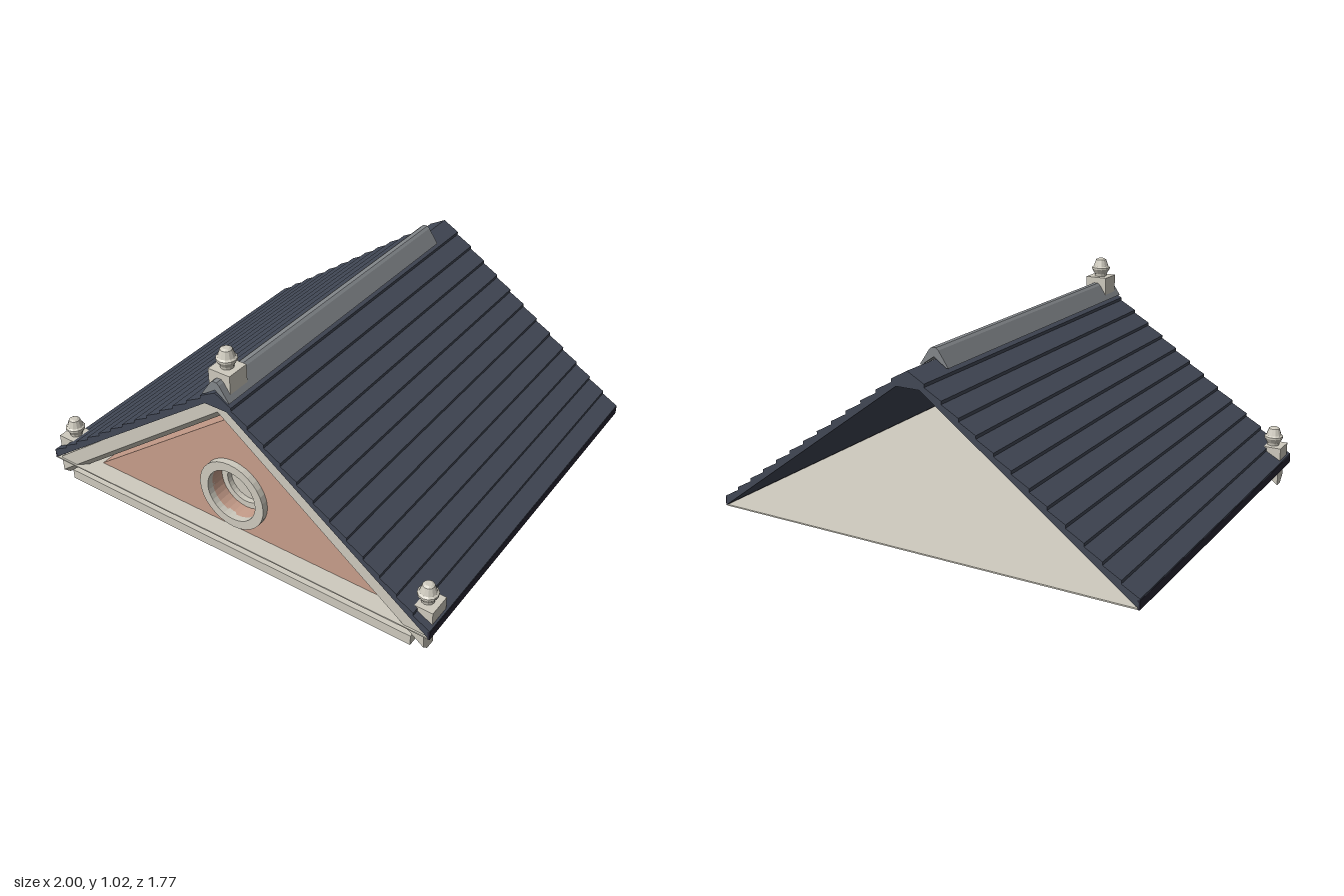
import * as THREE from 'three';

const mat = (name, color) => {
  const m = new THREE.MeshStandardMaterial({ color });
  m.name = name;
  return m;
};

export function createModel() {
  const model = new THREE.Group();
  model.name = 'gabledRoof';
  const stone = mat('cream stone', 0xcfcbbf);
  const slate = mat('blue slate', 0x424856);
  const fasciaDark = mat('dark fascia', 0x272534);
  const lead = mat('grey lead', 0x83878b);
  const brick = mat('salmon plaster', 0xc89e8b);

  const add = (name, geo, material, parent = model) => {
    const mesh = new THREE.Mesh(geo, material);
    mesh.name = name;
    parent.add(mesh);
    return mesh;
  };
  const shapeOf = pts => new THREE.Shape(pts.map(p => new THREE.Vector2(p[0], p[1])));
  // Solid with an x-y outline running from z0 to z1
  const prism = (shape, z0, z1) =>
    new THREE.ExtrudeGeometry(shape, { depth: z1 - z0, bevelEnabled: false, curveSegments: 16 }).translate(0, 0, z0);

  const Z = 0.885;
  const under = x => 0.83 - 0.73 * x; // underside of the roof at distance x from the ridge
  const COURSES = 13;

  for (const s of [1, -1]) {
    const side = s > 0 ? 'left' : 'right';

    // Roof deck and its eave board
    add(side + 'RoofDeck', prism(shapeOf([
      [0, under(0)], [s * 0.995, under(0.995)], [s * 0.995, under(0.995) + 0.025], [0, under(0) + 0.025],
    ]), -Z, Z), slate);
    add(side + 'EaveFascia', prism(shapeOf([
      [s * 0.99, 0.1], [s, 0.1], [s, 0.138], [s * 0.99, 0.14],
    ]), -Z, Z), fasciaDark);

    // Overlapping slate courses, each thicker at its lower edge
    for (let i = 0; i < COURSES; i++) {
      const lo = 1 - i / COURSES - (i === 0 ? 0.001 : 0);
      const hi = 1 - (i + 1) / COURSES;
      add(side + 'SlateCourse' + (i + 1), prism(shapeOf([
        [s * hi, under(hi) + 0.02], [s * lo, under(lo) + 0.02],
        [s * lo, under(lo) + 0.044], [s * hi, under(hi) + 0.03],
      ]), -Z, Z), slate);
    }

    // Raking cornice with a chamfered lower front edge
    const L = 0.97;
    const rake = new THREE.ExtrudeGeometry(shapeOf([
      [0.8, 0], [0.845, 0], [0.877, 0.032], [0.877, 0.11], [0.8, 0.11],
    ]), { depth: L, bevelEnabled: false });
    const p = rake.attributes.position;
    for (let i = 0; i < p.count; i++) {
      const x = s > 0 ? L - p.getZ(i) : -p.getZ(i);
      p.setXYZ(i, x, 0.733 - 0.753 * Math.abs(x) + p.getY(i), p.getX(i));
    }
    rake.computeVertexNormals();
    add(side + 'RakingCornice', rake, stone);
  }

  // Ridge beam and lead ridge cap
  add('ridgeBeam', prism(shapeOf([[-0.075, 0.79], [0.075, 0.79], [0, 0.85]]), -Z, Z), slate);
  add('ridgeCap', prism(shapeOf([
    [-0.068, 0.832], [-0.058, 0.832], [0, 0.872], [0.058, 0.832], [0.068, 0.832],
    [0.022, 0.9], [0.01, 0.91], [-0.01, 0.91], [-0.022, 0.9],
  ]), -0.7, 0.882), lead);

  // Soffit floor closing the roof from below
  add('soffit', new THREE.BoxGeometry(1.99, 0.006, 2 * Z).translate(0, 0.102, 0), stone);

  // Gable panel with a round opening
  const oy = 0.302;
  const gable = shapeOf([[-0.91, 0.013], [0.91, 0.013], [0, 0.69]]);
  const hole = (shape, r, y) => {
    shape.holes.push(new THREE.Path().absarc(0, y, r, 0, Math.PI * 2, true));
    return shape;
  };
  add('gablePanel', prism(hole(gable, 0.125, oy), 0.665, 0.8), brick);
  add('baseCornice', new THREE.BoxGeometry(1.82, 0.048, 0.075).translate(0, 0.034, 0.8375), stone);

  // Round window: outer surround, inner frame and pane
  const ring = (ro, ri, z0, z1) =>
    prism(hole(new THREE.Shape().absarc(0, oy, ro, 0, Math.PI * 2, false), ri, oy), z0, z1);
  add('windowSurround', ring(0.167, 0.125, 0.79, 0.83), stone);
  add('windowFrame', ring(0.126, 0.095, 0.7, 0.735), stone);
  add('windowPane', new THREE.CylinderGeometry(0.126, 0.126, 0.02, 32)
    .rotateX(Math.PI / 2).translate(0, oy, 0.7), stone);

  // Plinths with urn finials
  const urn = [[0, 0], [0.028, 0], [0.03, 0.012], [0.044, 0.035], [0.044, 0.044], [0.036, 0.05],
    [0.025, 0.082], [0.014, 0.088], [0, 0.088]].map(q => new THREE.Vector2(q[0], q[1]));
  for (const [name, x, y0, y1] of [['left', 0.938, 0.138, 0.208], ['right', -0.938, 0.138, 0.208], ['ridge', 0, 0.835, 0.938]]) {
    const finial = new THREE.Group();
    finial.name = name + 'Finial';
    finial.position.set(x, y0, 0.8);
    add('plinth', new THREE.BoxGeometry(0.106, y1 - y0, 0.106).translate(0, (y1 - y0) / 2, 0), stone, finial);
    const g = new THREE.LatheGeometry(urn, 12).toNonIndexed();
    g.computeVertexNormals();
    add('urn', g.translate(0, y1 - y0, 0), stone, finial);
    model.add(finial);
  }
  return model;
}
